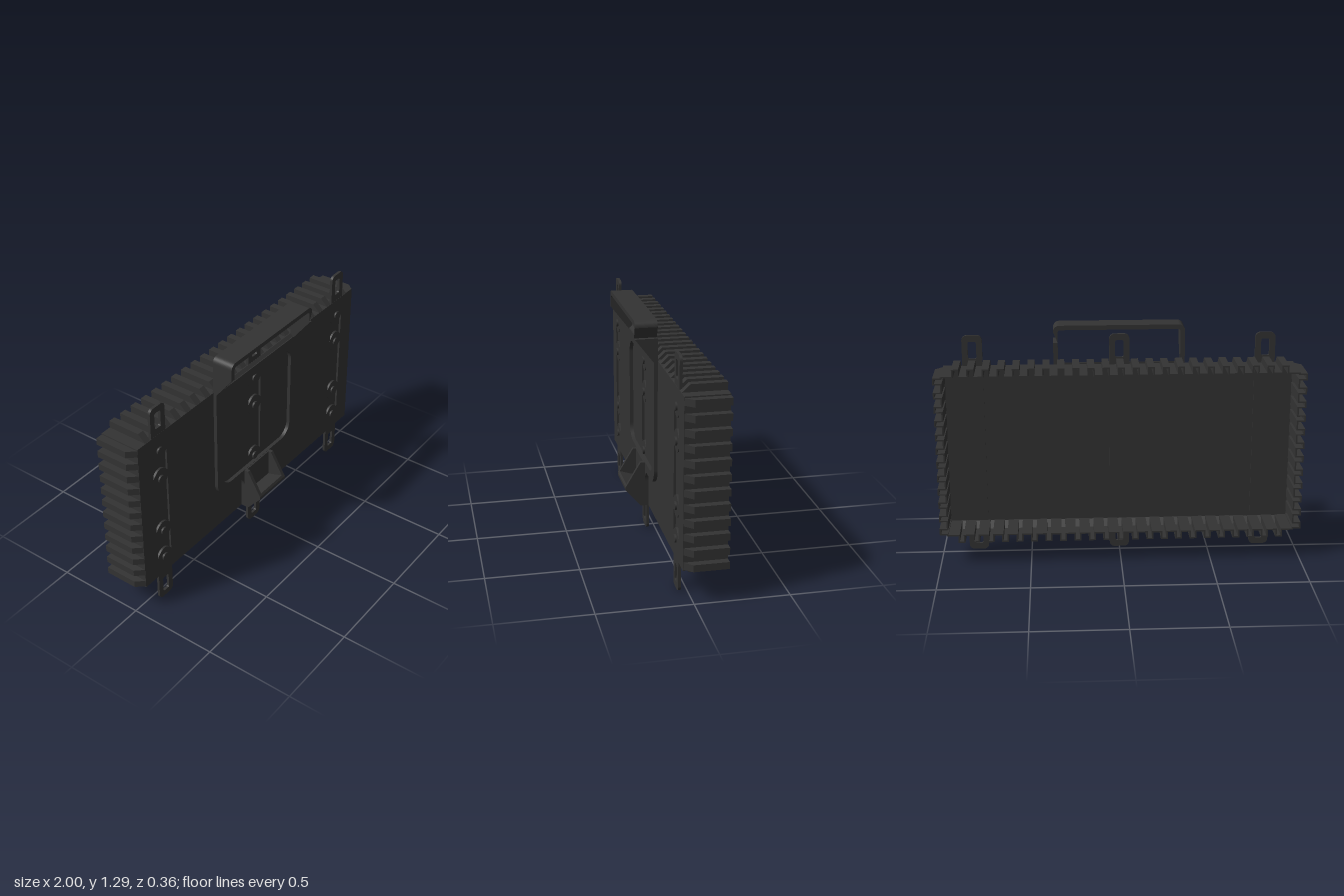
import * as THREE from 'three';

const MID = 0.625;                       // height of the body's centre
const STRAPS = [-0.8, 0, 0.8];
const material = new THREE.MeshStandardMaterial({ color: 0x333333, side: THREE.DoubleSide });

function add(parent, name, geometry, x = 0, y = 0, z = 0) {
  const mesh = new THREE.Mesh(geometry, material);
  mesh.name = name;
  mesh.position.set(x, y, z);
  parent.add(mesh);
  return mesh;
}

// Shape in x, y pushed from z0 to z1
function extrudeZ(shape, z0, z1) {
  return new THREE.ExtrudeGeometry(shape, { depth: z1 - z0, bevelEnabled: false, curveSegments: 10 })
    .translate(0, 0, z0);
}

// Side profile of [z, y] points spanning x0 to x1
function extrudeX(points, x0, x1) {
  const shape = new THREE.Shape(points.map(([z, y]) => new THREE.Vector2(z, y)));
  return new THREE.ExtrudeGeometry(shape, { depth: x1 - x0, bevelEnabled: false })
    .rotateY(-Math.PI / 2).translate(x1, 0, 0);
}

function box(x0, x1, y0, y1, z0, z1) {
  return new THREE.BoxGeometry(x1 - x0, y1 - y0, z1 - z0)
    .translate((x0 + x1) / 2, (y0 + y1) / 2, (z0 + z1) / 2);
}

function roundRect(path, x0, x1, y0, y1, r) {
  path.absarc(x1 - r, y0 + r, r, -Math.PI / 2, 0);
  path.absarc(x1 - r, y1 - r, r, 0, Math.PI / 2);
  path.absarc(x0 + r, y1 - r, r, Math.PI / 2, Math.PI);
  path.absarc(x0 + r, y0 + r, r, Math.PI, Math.PI * 1.5);
  path.closePath();
  return path;
}

// Square-wave outline of the finned wall, shrunk by t
function finOutline(t) {
  const points = [];
  for (let s = 0; s < 4; s++) {
    const onSide = s % 2 === 0;
    const base = (onSide ? 0.96 : 0.455) - t, far = base + 0.04;
    const half = (onSide ? 0.455 : 0.96) - t;
    const count = onSide ? 12 : 23, pitch = onSide ? 0.078 : 0.08, w = 0.019 - t;
    const put = (d, a) => {
      const p = new THREE.Vector2(d, a).rotateAround(new THREE.Vector2(), s * Math.PI / 2);
      points.push(p);
    };
    put(base, -half);
    for (let i = 0; i < count; i++) {
      const c = (i - (count - 1) / 2) * pitch;
      put(base, c - w); put(far, c - w); put(far, c + w); put(base, c + w);
    }
  }
  return points;
}

// Corrugated wall: inner skin, rear rim, outer skin and front chamfer
function finnedWall() {
  const outer = finOutline(0), inner = finOutline(0.008);
  const clamp = (list, hx, hy) => list.map(p => new THREE.Vector2(
    THREE.MathUtils.clamp(p.x, -hx, hx), THREE.MathUtils.clamp(p.y, -hy, hy)));
  const rings = [
    [clamp(inner, 0.952, 0.447), 0.038], [inner, 0], [inner, -0.18],
    [outer, -0.18], [outer, 0.005], [clamp(outer, 0.96, 0.455), 0.048],
  ];
  const n = outer.length, position = [], index = [];
  for (const [ring, z] of rings) for (const p of ring) position.push(p.x, p.y + MID, z);
  for (let r = 0; r < rings.length - 1; r++) {
    for (let i = 0; i < n; i++) {
      const a = r * n + i, b = r * n + (i + 1) % n;
      index.push(a, b, b + n, a, b + n, a + n);
    }
  }
  const geometry = new THREE.BufferGeometry();
  geometry.setAttribute('position', new THREE.Float32BufferAttribute(position, 3));
  geometry.setIndex(index);
  const flat = geometry.toNonIndexed();
  flat.computeVertexNormals();
  return flat;
}

// Front plate with strap channels whose ends curve around the rivets
function frontPlate() {
  const shape = new THREE.Shape();
  shape.moveTo(-0.96, 0.17); shape.lineTo(0.96, 0.17);
  shape.lineTo(0.96, 1.08); shape.lineTo(-0.96, 1.08);
  for (const x of STRAPS) {
    for (const [y0, y1] of [[0.295, 0.43], [0.475, 0.78], [0.825, 0.96]]) {
      const hole = new THREE.Path();
      hole.moveTo(x - 0.055, y0);
      hole.quadraticCurveTo(x, y0 + 0.075, x + 0.055, y0);
      hole.lineTo(x + 0.055, y1);
      hole.quadraticCurveTo(x, y1 - 0.075, x - 0.055, y1);
      hole.lineTo(x - 0.055, y0);
      shape.holes.push(hole);
    }
  }
  return extrudeZ(shape, 0.036, 0.05);
}

function strapLoop(x, y0, y1, slot0, slot1) {
  const shape = roundRect(new THREE.Shape(), x - 0.055, x + 0.055, y0, y1, 0.028);
  shape.holes.push(roundRect(new THREE.Path(), x - 0.023, x + 0.023, slot0, slot1, 0.01));
  return extrudeZ(shape, 0.034, 0.049);
}

// Raised frame with a rounded window and a neck at the bottom
function bracketFrame() {
  const s = new THREE.Shape();
  s.moveTo(-0.36, 1.075);
  s.lineTo(-0.36, 0.47);
  s.absarc(-0.27, 0.47, 0.09, Math.PI, Math.PI * 1.5);
  s.lineTo(-0.18, 0.38);
  s.quadraticCurveTo(-0.12, 0.38, -0.12, 0.32);
  s.lineTo(-0.12, 0.17); s.lineTo(0.12, 0.17); s.lineTo(0.12, 0.32);
  s.quadraticCurveTo(0.12, 0.38, 0.18, 0.38);
  s.lineTo(0.27, 0.38);
  s.absarc(0.27, 0.47, 0.09, -Math.PI / 2, 0);
  s.lineTo(0.36, 1.075);
  s.holes.push(roundRect(new THREE.Path(), -0.315, 0.315, 0.43, 1.02, 0.08));
  return extrudeZ(s, 0.045, 0.07);
}

// Upper part of the carrying handle
function handleArch() {
  const s = new THREE.Shape();
  s.moveTo(0.36, 1.2);
  s.absarc(0.325, 1.26, 0.035, 0, Math.PI / 2);
  s.absarc(-0.325, 1.26, 0.035, Math.PI / 2, Math.PI);
  s.lineTo(-0.36, 1.2); s.lineTo(-0.335, 1.2);
  s.absarc(-0.32, 1.255, 0.015, Math.PI, Math.PI / 2, true);
  s.absarc(0.32, 1.255, 0.015, Math.PI / 2, 0, true);
  s.lineTo(0.335, 1.2);
  return extrudeZ(s, 0.05, 0.17);
}

export function createModel() {
  const model = new THREE.Group();
  model.name = 'finnedPanel';

  // Tray body
  const body = new THREE.Group();
  body.name = 'body';
  model.add(body);
  add(body, 'finnedWall', finnedWall());
  add(body, 'frontPlate', frontPlate());
  add(body, 'trayFloor', box(-0.955, 0.955, 0.175, 1.075, 0.031, 0.038));

  // Straps, loops and rivets
  const rivet = new THREE.CylinderGeometry(0.022, 0.022, 0.03, 20).rotateX(Math.PI / 2);
  for (const x of STRAPS) {
    const strap = new THREE.Group();
    strap.name = 'strap';
    model.add(strap);
    add(strap, 'strapBacking', box(x - 0.057, x + 0.057, 0.18, 1.07, 0.024, 0.033));
    add(strap, 'lowerLoop', strapLoop(x, 0, 0.22, 0.035, 0.13));
    add(strap, 'upperLoop', strapLoop(x, 1.03, 1.25, 1.12, 1.215));
    for (const y of [0.275, 0.455, 0.8, 0.98]) add(strap, 'rivet', rivet, x, y, 0.045);
  }

  // Bracket and carrying handle
  const handle = new THREE.Group();
  handle.name = 'handle';
  model.add(handle);
  add(handle, 'bracketFrame', bracketFrame());
  add(handle, 'handleSill', extrudeX([[0.045, 1.06], [0.07, 1.07], [0.05, 1.09], [0.045, 1.09]], -0.36, 0.36));
  add(handle, 'handleArch', handleArch());
  const leg = [[0.05, 1.07], [0.07, 1.07], [0.17, 1.2], [0.05, 1.2]];
  add(handle, 'leftLeg', extrudeX(leg, 0.335, 0.36));
  add(handle, 'rightLeg', extrudeX(leg, -0.36, -0.335));

  // Hollow catch at the foot of the bracket
  const latch = new THREE.Group();
  latch.name = 'catch';
  model.add(latch);
  const cheek = [[0.05, 0.17], [0.095, 0.17], [0.18, 0.27], [0.18, 0.285], [0.095, 0.428], [0.05, 0.428]];
  add(latch, 'leftCheek', extrudeX(cheek, 0.1, 0.12));
  add(latch, 'rightCheek', extrudeX(cheek, -0.12, -0.1));
  add(latch, 'catchLip', extrudeX(
    [[0.05, 0.17], [0.095, 0.17], [0.18, 0.27], [0.18, 0.285], [0.172, 0.298], [0.085, 0.27], [0.05, 0.27]], -0.1, 0.1));
  add(latch, 'catchBack', box(-0.1, 0.1, 0.25, 0.428, 0.05, 0.078));
  return model;
}
